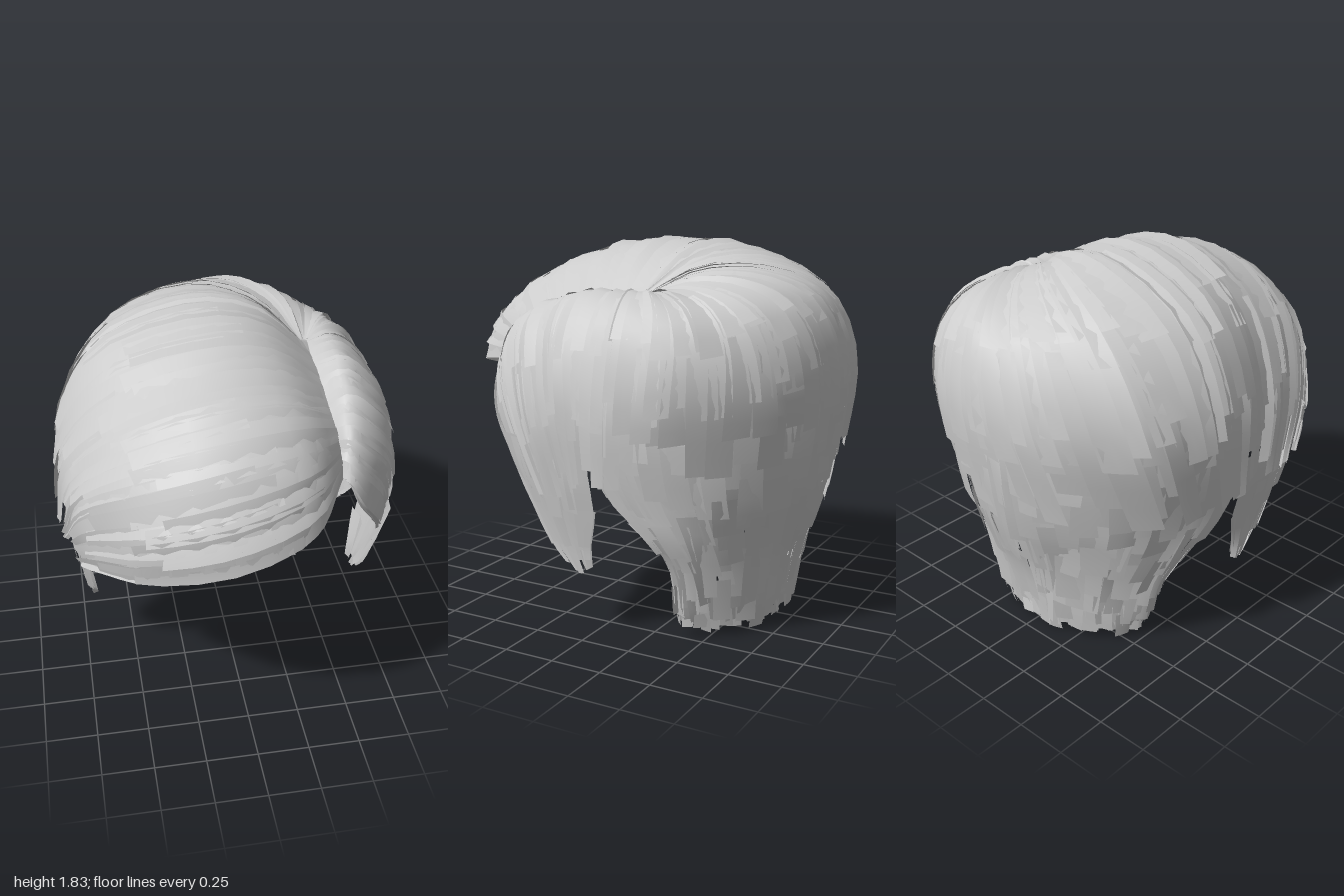
import * as THREE from 'three';
import { mergeGeometries } from 'three/addons/utils/BufferGeometryUtils.js';

// Guide strands, root to tip: fringe, then crown, then left side
const fringeGuides = [
  [[.46, 1.25, .55], [.25, 1.19, .89], [-.1, 1.10, .98], [-.45, .99, .84], [-.66, .88, .58], [-.73, .80, .42]],
  [[.47, 1.32, .5], [.25, 1.37, .82], [-.1, 1.32, .93], [-.45, 1.2, .83], [-.68, 1.02, .55], [-.77, .85, .33]],
  [[.47, 1.4, .42], [.23, 1.53, .67], [-.12, 1.53, .76], [-.47, 1.4, .67], [-.72, 1.15, .42], [-.80, .85, .22]],
  [[.46, 1.47, .27], [.2, 1.66, .42], [-.15, 1.69, .48], [-.52, 1.53, .4], [-.77, 1.22, .22], [-.82, .85, .1]],
  [[.45, 1.54, .07], [.18, 1.75, .12], [-.15, 1.78, .15], [-.55, 1.62, .08], [-.78, 1.27, 0], [-.81, .82, -.05]],
];
const crownGuides = [
  [[.42, 1.59, -.12], [.18, 1.77, -.2], [-.15, 1.80, -.25], [-.55, 1.63, -.28], [-.76, 1.27, -.3], [-.79, .8, -.25]],
  [[.41, 1.59, -.15], [.2, 1.75, -.33], [-.08, 1.76, -.52], [-.42, 1.6, -.63], [-.65, 1.25, -.64], [-.70, .75, -.5]],
  [[.41, 1.59, -.16], [.28, 1.72, -.38], [.1, 1.72, -.64], [-.12, 1.58, -.85], [-.28, 1.25, -.92], [-.38, .8, -.82]],
  [[.42, 1.59, -.17], [.36, 1.68, -.4], [.27, 1.67, -.67], [.18, 1.55, -.87], [.12, 1.25, -.96], [.05, .8, -.91]],
  [[.43, 1.59, -.17], [.46, 1.63, -.38], [.48, 1.59, -.6], [.49, 1.46, -.75], [.48, 1.2, -.81], [.42, .8, -.77]],
  [[.44, 1.59, -.16], [.54, 1.61, -.28], [.64, 1.54, -.42], [.71, 1.39, -.49], [.74, 1.15, -.49], [.69, .8, -.45]],
];
const sideGuides = [
  [[.44, 1.59, -.14], [.56, 1.61, -.15], [.67, 1.53, -.16], [.76, 1.37, -.17], [.81, 1.1, -.17], [.78, .78, -.15]],
  [[.43, 1.55, .05], [.55, 1.60, .09], [.66, 1.51, .1], [.76, 1.35, .08], [.81, 1.1, .04], [.78, .75, 0]],
  [[.43, 1.47, .28], [.53, 1.54, .3], [.64, 1.46, .31], [.74, 1.31, .26], [.80, 1.05, .19], [.77, .72, .1]],
  [[.43, 1.38, .42], [.5, 1.43, .49], [.6, 1.34, .49], [.7, 1.2, .42], [.76, .98, .31], [.76, .70, .18]],
  [[.43, 1.26, .5], [.48, 1.24, .59], [.54, 1.12, .6], [.62, .99, .53], [.69, .85, .4], [.74, .7, .26]],
];
const capGuides = [...fringeGuides, ...crownGuides, ...sideGuides];

// Half of the nape, from the back centre to the ear edge
const napeHalf = [
  [[0, 1.35, -.93], [0, 1.05, -.94], [0, .72, -.88], [0, .52, -.82], [0, .35, -.75], [0, .15, -.7], [0, .02, -.67]],
  [[.25, 1.35, -.88], [.25, 1.05, -.89], [.23, .72, -.84], [.2, .52, -.78], [.18, .35, -.73], [.16, .15, -.69], [.15, .03, -.66]],
  [[.58, 1.35, -.61], [.6, 1.05, -.64], [.55, .72, -.63], [.48, .52, -.62], [.42, .35, -.6], [.37, .15, -.58], [.35, .04, -.56]],
  [[.71, 1.35, -.28], [.74, 1.05, -.3], [.69, .72, -.34], [.63, .52, -.42], [.55, .35, -.46], [.49, .15, -.46], [.45, .05, -.45]],
  [[.73, 1.35, .06], [.77, 1.05, 0], [.73, .72, -.1], [.66, .52, -.28], [.57, .35, -.36], [.51, .15, -.36], [.47, .07, -.36]],
];

// Sideburn, from the ear edge to the front edge
const sideburnLeft = [
  [[.78, .95, -.05], [.76, .78, -.05], [.73, .62, -.06], [.70, .45, -.02], [.69, .34, -.02]],
  [[.78, .95, .2], [.77, .78, .17], [.74, .62, .14], [.71, .45, .09], [.69, .32, .03]],
  [[.75, .95, .42], [.73, .78, .36], [.71, .62, .28], [.69, .45, .19], [.68, .34, .08]],
];

const mirror = guides => guides.map(g => g.map(([x, y, z]) => [-x, y, z])).reverse();
const nape = [...mirror(napeHalf.slice(1)), ...napeHalf];

let seed = 7;
const random = (a, b) => {
  seed = (seed * 16807) % 2147483647;
  return a + (b - a) * seed / 2147483647;
};

// Smooth interpolation through a list of points; t counts in points and may overshoot
function spline(points, t) {
  const n = points.length;
  const i = Math.max(0, Math.min(n - 2, Math.floor(t)));
  const f = t - i;
  const b = points[i], c = points[i + 1];
  const a = points[i - 1] || b.map((v, k) => 2 * v - c[k]);
  const d = points[i + 2] || c.map((v, k) => 2 * v - b[k]);
  return b.map((v, k) => v + 0.5 * f * (c[k] - a[k] +
    f * (2 * a[k] - 5 * v + 4 * c[k] - d[k] + f * (3 * (v - c[k]) + d[k] - a[k]))));
}

function surfacePoint(guides, u, v) {
  const across = guides[0].map((_, j) => spline(guides.map(g => g[j]), u));
  return new THREE.Vector3(...spline(across, v * (across.length - 1)));
}

function surfaceNormal(guides, u, v) {
  const e = 0.02;
  const w = Math.max(v, 0.06);
  const du = surfacePoint(guides, u + e, w).sub(surfacePoint(guides, u - e, w));
  const dv = surfacePoint(guides, u, w + e).sub(surfacePoint(guides, u, w - e));
  return du.cross(dv).normalize();
}

// Patch of the guide surface, lifted along its normal; skew slants the strip
function patch(guides, [u0, u1], [v0, v1], nu, nv, lift = () => 0, skew = 0) {
  const positions = [], uvs = [], index = [];
  for (let j = 0; j <= nv; j++) {
    for (let i = 0; i <= nu; i++) {
      const s = i / nu, t = j / nv;
      const u = u0 + (u1 - u0) * s + skew * t, v = v0 + (v1 - v0) * t;
      const p = surfacePoint(guides, u, v);
      p.addScaledVector(surfaceNormal(guides, u, v), lift(s, t));
      positions.push(p.x, Math.max(0, p.y), p.z);
      uvs.push(s, t);
      if (i < nu && j < nv) {
        const a = j * (nu + 1) + i, b = a + 1, c = a + nu + 1, d = c + 1;
        index.push(a, b, c, b, d, c);
      }
    }
  }
  const geometry = new THREE.BufferGeometry();
  geometry.setAttribute('position', new THREE.Float32BufferAttribute(positions, 3));
  geometry.setAttribute('uv', new THREE.Float32BufferAttribute(uvs, 2));
  geometry.setIndex(index);
  geometry.computeVertexNormals();
  return geometry;
}

// A lock of hair: overlapping cards laid in rows from root to tip, over an optional lining
function hairSection(name, guides, [u0, u1], { rows, width, ragged, depth, segments, lining }) {
  const parts = [];
  if (lining) parts.push(patch(guides, [u0, u1], [0, lining], Math.ceil((u1 - u0) * 5), 24));
  for (const [start, end] of rows) {
    for (let u = u0; u < u1 - 0.02; u += width) {
      const from = Math.max(0, start + random(-0.04, 0.04));
      const to = end + (end >= 1 ? random(-ragged, 0.02) : random(-0.06, 0.06));
      const right = Math.min(u1, u + width * random(1.1, 1.6));
      const base = random(-depth, 0.004), rise = random(0.005, 0.022), tilt = random(-0.025, 0.025);
      const inside = u > u0 + width && right < u1 - width;
      const skew = inside ? random(-0.35, 0.35) * width : 0;
      parts.push(patch(guides, [u, right], [from, to], 2, segments,
        (s, t) => base + rise * t + tilt * (s - 0.5) * Math.min(1, 3 * (from + t)), skew));
    }
  }
  const material = new THREE.MeshStandardMaterial({ color: 0xcccccc, side: THREE.DoubleSide });
  const mesh = new THREE.Mesh(mergeGeometries(parts), material);
  mesh.name = name;
  return mesh;
}

export function createModel() {
  const model = new THREE.Group();
  model.name = 'hair';
  const long = {
    rows: [[0, .6], [.3, .82], [.62, 1]],
    width: .22, ragged: .05, depth: .004, segments: 8, lining: .92,
  };
  const crown = { ...long, ragged: .12, lining: .86 };
  const short = {
    rows: Array.from({ length: 10 }, (_, i) => [i / 10, Math.min(1, (i + 1.9) / 10)]),
    width: .3, ragged: .02, depth: .022, segments: 3,
  };
  const wisp = { rows: [[0, .5], [.25, .75], [.5, 1]], width: .33, ragged: .06, depth: .01, segments: 4, lining: .9 };

  model.add(
    hairSection('sweptFringe', capGuides, [0, 5], long),
    hairSection('backCrown', capGuides, [5, 11], crown),
    hairSection('leftSideSweep', capGuides, [11, 15], long),
    hairSection('nape', nape, [0, 8], short),
    hairSection('leftSideburn', sideburnLeft, [0, 2], wisp),
    hairSection('rightSideburn', mirror(sideburnLeft), [0, 2], wisp),
  );
  return model;
}
